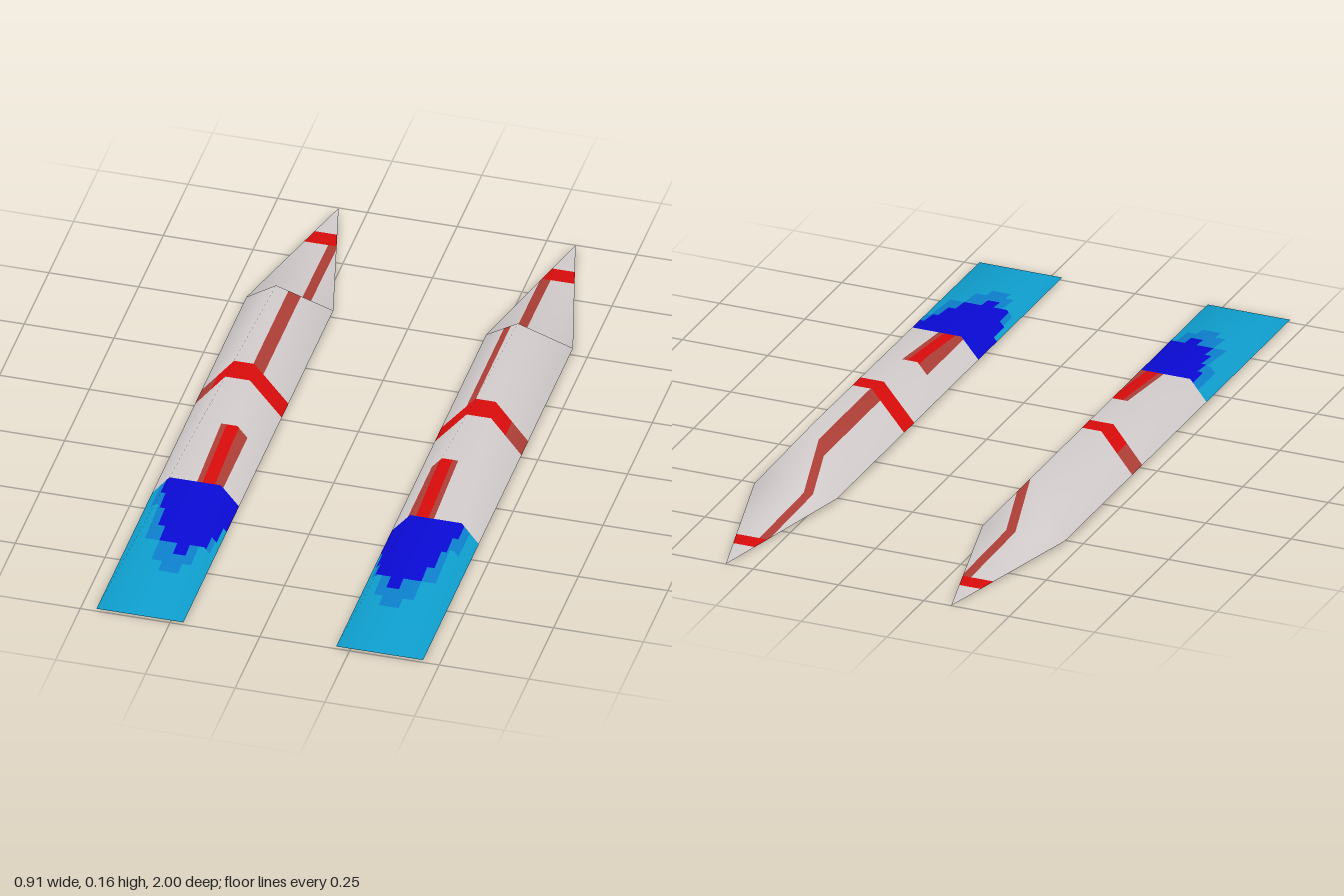
import * as THREE from 'three';

const mat = (name, color) => {
  const m = new THREE.MeshStandardMaterial({ color, side: THREE.DoubleSide });
  m.name = name;
  return m;
};

// Painted rectangles seen from above: [x0, x1, z0, z1, colour]; later ones lie on top
const BODY = 0, CYAN = 1, MID = 2, BLUE = 3, RED = 4, DULL = 5;
const PAINT = [
  [0.2, 0.47, 0.435, 1.01, CYAN],
  [0.213, 0.43, 0.435, 0.55, MID], [0.225, 0.405, 0.55, 0.69, MID],
  [0.255, 0.365, 0.69, 0.77, MID], [0.28, 0.335, 0.77, 0.81, MID],
  [0.2, 0.415, 0.435, 0.5, BLUE], [0.2, 0.4, 0.5, 0.56, BLUE],
  [0.222, 0.385, 0.56, 0.63, BLUE], [0.235, 0.365, 0.63, 0.69, BLUE],
  [0.28, 0.315, 0.69, 0.735, BLUE],
  [0.257, 0.33, 0.19, 0.435, DULL], [0.28, 0.315, 0.19, 0.435, RED],
  [0.283, 0.31, -0.82, -0.066, DULL],
  [0.2, 0.47, -0.066, 0.002, DULL], [0.2, 0.41, -0.066, 0.002, RED],
  [0.2, 0.47, -0.875, -0.82, RED],
];
const sorted = (i) => [...new Set(PAINT.flatMap((p) => [p[i], p[i + 1]]))].sort((a, b) => a - b);
const X_CUTS = sorted(0), Z_CUTS = sorted(2);

const colourAt = (x, z) => {
  let c = BODY;
  for (const [x0, x1, z0, z1, k] of PAINT) if (x > x0 && x < x1 && z > z0 && z < z1) c = k;
  return c;
};

// Keep the part of a convex polygon on one side of an axis cut (points carry position + normal)
function clip(poly, axis, cut, sign) {
  const out = [];
  poly.forEach((p, i) => {
    const q = poly[(i + 1) % poly.length];
    const dp = (p[axis] - cut) * sign, dq = (q[axis] - cut) * sign;
    if (dp >= 0) out.push(p);
    if ((dp > 0 && dq < 0) || (dp < 0 && dq > 0)) {
      const t = dp / (dp - dq);
      out.push(p.map((v, k) => v + (q[k] - v) * t));
    }
  });
  return out;
}

// Slice polygons into strips along an axis
function slice(polys, axis, cuts) {
  const edges = [-9, ...cuts, 9];
  return polys.flatMap((poly) => edges.slice(1).map((hi, i) =>
    clip(clip(poly, axis, edges[i], 1), axis, hi, -1)).filter((p) => p.length > 2));
}

// One triangular panel, cut along its paint lines, with a group for each colour
function panel(name, tri, side, materials) {
  const byColour = materials.map(() => []);
  for (const poly of slice(slice([tri], 2, Z_CUTS), 0, X_CUTS)) {
    const mean = (k) => poly.reduce((s, p) => s + p[k], 0) / poly.length;
    const list = byColour[colourAt(mean(0), mean(2))];
    for (let i = 1; i < poly.length - 1; i++) {
      list.push(...(side > 0 ? [poly[0], poly[i], poly[i + 1]] : [poly[0], poly[i + 1], poly[i]]));
    }
  }
  const pos = [], nor = [];
  const geo = new THREE.BufferGeometry();
  byColour.forEach((list, k) => {
    if (list.length) geo.addGroup(pos.length / 3, list.length, k);
    for (const [x, y, z, nx, ny, nz] of list) {
      pos.push(x * side, y, z);
      nor.push(nx * side, ny, nz);
    }
  });
  geo.setAttribute('position', new THREE.Float32BufferAttribute(pos, 3));
  geo.setAttribute('normal', new THREE.Float32BufferAttribute(nor, 3));
  geo.normalizeNormals();
  const mesh = new THREE.Mesh(geo, materials);
  mesh.name = name;
  return mesh;
}

export function createModel() {
  const materials = [
    mat('paleGrey', 0xd6cfcf), mat('cyan', 0x0fa2d2), mat('midBlue', 0x0d82d0),
    mat('deepBlue', 0x0a0ad8), mat('red', 0xdc0c0c), mat('dullRed', 0xb04038),
  ];

  // Corners: front pair, back pair, peak, tip
  const corners = [
    0.213, 0.008, 1, 0.455, 0.008, 1, 0.455, 0.008, -0.52,
    0.213, 0.008, -0.52, 0.337, 0.155, -0.39, 0.33, 0, -1,
  ];
  const faces = {
    ramp: [0, 1, 4], outerSide: [1, 2, 4], backSlope: [2, 3, 4],
    innerSide: [3, 0, 4], tipPlate: [3, 2, 5],
  };

  // Shared normals give the soft shading across the panels
  const shell = new THREE.BufferGeometry();
  shell.setAttribute('position', new THREE.Float32BufferAttribute(corners, 3));
  shell.setIndex(Object.values(faces).flat());
  shell.computeVertexNormals();
  const n = shell.attributes.normal;
  const point = (i) => [...corners.slice(i * 3, i * 3 + 3), n.getX(i), n.getY(i), n.getZ(i)];

  // Mirrored pair of open-bottomed wedges
  const model = new THREE.Group();
  model.name = 'wedgePair';
  for (const side of [1, -1]) {
    const wedge = new THREE.Group();
    wedge.name = side > 0 ? 'leftWedge' : 'rightWedge';
    for (const [name, face] of Object.entries(faces)) {
      wedge.add(panel(name, face.map(point), side, materials));
    }
    model.add(wedge);
  }
  return model;
}
